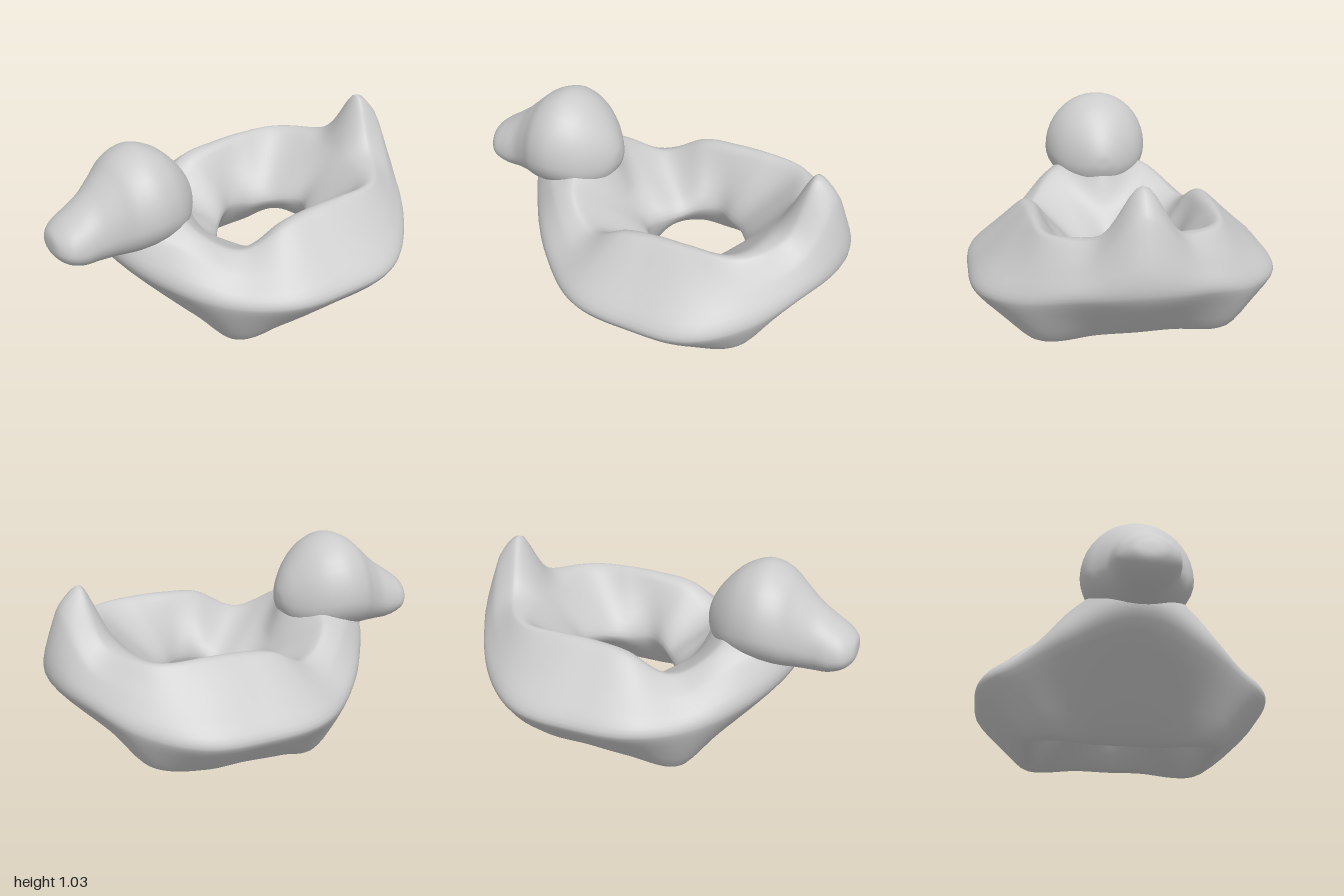
import * as THREE from 'three';
import { mergeVertices } from 'three/addons/utils/BufferGeometryUtils.js';

const material = new THREE.MeshStandardMaterial({ color: 0xcccccc });

// Smoothly interpolates the rows of a table; pick() handles rows beyond the ends.
function sample(table, t, pick) {
  const i = Math.min(Math.floor(t), table.length - 2), f = t - i;
  const [a, b, c, d] = [i - 1, i, i + 1, i + 2].map((k) => table[pick(k, table.length - 1)]);
  return b.map((_, n) => b[n] + 0.5 * f * (c[n] - a[n]
    + f * (2 * a[n] - 5 * b[n] + 4 * c[n] - d[n] + f * (3 * (b[n] - c[n]) + d[n] - a[n]))));
}
const clampEnds = (k, last) => Math.max(0, Math.min(last, k));
const mirrorEnds = (k, last) => (k < 0 ? -k : k > last ? 2 * last - k : k);

// Skins a list of closed cross-sections.
function loft(name, rings) {
  const n = rings[0].length, index = [];
  for (let i = 0; i < rings.length - 1; i++) {
    for (let j = 0; j < n; j++) {
      const a = i * n + j, b = i * n + (j + 1) % n;
      index.push(a, a + n, b, b, a + n, b + n);
    }
  }
  let geometry = new THREE.BufferGeometry();
  geometry.setAttribute('position', new THREE.Float32BufferAttribute(rings.flat(2), 3));
  geometry.setIndex(index);
  geometry = mergeVertices(geometry, 1e-5);
  geometry.computeVertexNormals();
  const mesh = new THREE.Mesh(geometry, material);
  mesh.name = name;
  return mesh;
}

// Rounds the corners of a closed polygon by cutting them.
function cutCorners(points, ratio) {
  return points.flatMap((p, i) => {
    const q = points[(i + 1) % points.length];
    const mix = (f) => [p[0] + (q[0] - p[0]) * f, p[1] + (q[1] - p[1]) * f];
    return [mix(ratio), mix(1 - ratio)];
  });
}

// Ring sections every 22.5 degrees from tail to breast, as radius, height pairs:
// inner edge, inner top, outer top, upper flank, outer edge, bottom edge.
// The last two rise to form the neck.
const SECTIONS = [
  [0.24, 0.41, 0.46, 0.68, 0.61, 0.69, 0.73, 0.69, 0.835, 0.51, 0.45, 0.125],
  [0.20, 0.39, 0.50, 0.68, 0.60, 0.69, 0.70, 0.61, 0.785, 0.48, 0.50, 0.13],
  [0.175, 0.36, 0.53, 0.67, 0.58, 0.68, 0.67, 0.56, 0.78, 0.41, 0.62, 0.105],
  [0.20, 0.34, 0.44, 0.67, 0.49, 0.68, 0.64, 0.53, 0.815, 0.37, 0.51, 0.065],
  [0.245, 0.34, 0.40, 0.66, 0.46, 0.67, 0.61, 0.52, 0.79, 0.355, 0.46, 0.055],
  [0.20, 0.34, 0.43, 0.63, 0.50, 0.64, 0.65, 0.50, 0.815, 0.355, 0.52, 0.04],
  [0.175, 0.33, 0.48, 0.51, 0.56, 0.54, 0.67, 0.48, 0.80, 0.36, 0.59, -0.035],
  [0.20, 0.33, 0.44, 0.51, 0.63, 0.67, 0.74, 0.61, 0.86, 0.42, 0.45, -0.06],
  [0.255, 0.33, 0.40, 0.48, 0.53, 0.80, 0.87, 0.68, 0.935, 0.50, 0.41, -0.07],
];

function bodyRing() {
  const steps = 128, rings = [];
  for (let s = 0; s <= steps; s++) {
    const angle = ((s % steps) / steps) * Math.PI * 2;
    const folded = Math.min(angle, Math.PI * 2 - angle);
    const row = sample(SECTIONS, (folded / Math.PI) * 8, mirrorEnds);
    let section = [];
    for (let k = 0; k < row.length; k += 2) section.push([row[k], row[k + 1]]);
    // Tail: the top is drawn up into a narrow peak at the rear
    if (folded < 1.2) {
      const peak = Math.exp(-((Math.sin(folded) * 0.61 / 0.13) ** 2));
      section[2][1] += 0.3 * peak;
      section[3][1] += 0.18 * peak;
      section[1][0] += 0.02 * peak;
    }
    section = cutCorners(cutCorners(cutCorners(section, 0.15), 0.25), 0.25);
    rings.push(section.map(([r, y]) => [0.2 + r * Math.cos(angle), y, r * Math.sin(angle)]));
  }
  return loft('bodyRing', rings);
}

// Head and bill, fullest below mid height: x, top, underside, half width
const HEAD = [
  [-1.0, 0.635, 0.635, 0], [-0.993, 0.69, 0.585, 0.08], [-0.95, 0.735, 0.54, 0.14],
  [-0.88, 0.785, 0.51, 0.16], [-0.80, 0.845, 0.505, 0.168], [-0.72, 0.92, 0.51, 0.205],
  [-0.64, 0.99, 0.515, 0.255], [-0.54, 1.025, 0.52, 0.275], [-0.44, 0.995, 0.525, 0.25],
  [-0.36, 0.93, 0.54, 0.2], [-0.29, 0.84, 0.59, 0.12], [-0.255, 0.76, 0.66, 0.05],
  [-0.25, 0.71, 0.71, 0],
];

function headAndBill() {
  const steps = 60, sides = 40, rings = [];
  for (let s = 0; s <= steps; s++) {
    const [x, top, under, width] = sample(HEAD, (s / steps) * (HEAD.length - 1), clampEnds);
    rings.push(Array.from({ length: sides }, (_, j) => {
      const a = (j / sides) * Math.PI * 2, c = Math.cos(a);
      const lift = 0.41 + c * (c > 0 ? 0.59 : 0.41);
      return [x, under + (top - under) * lift, -width * Math.sin(a)];
    }));
  }
  return loft('headAndBill', rings);
}

export function createModel() {
  const model = new THREE.Group();
  model.name = 'duckFloat';
  model.add(bodyRing(), headAndBill());
  return model;
}
